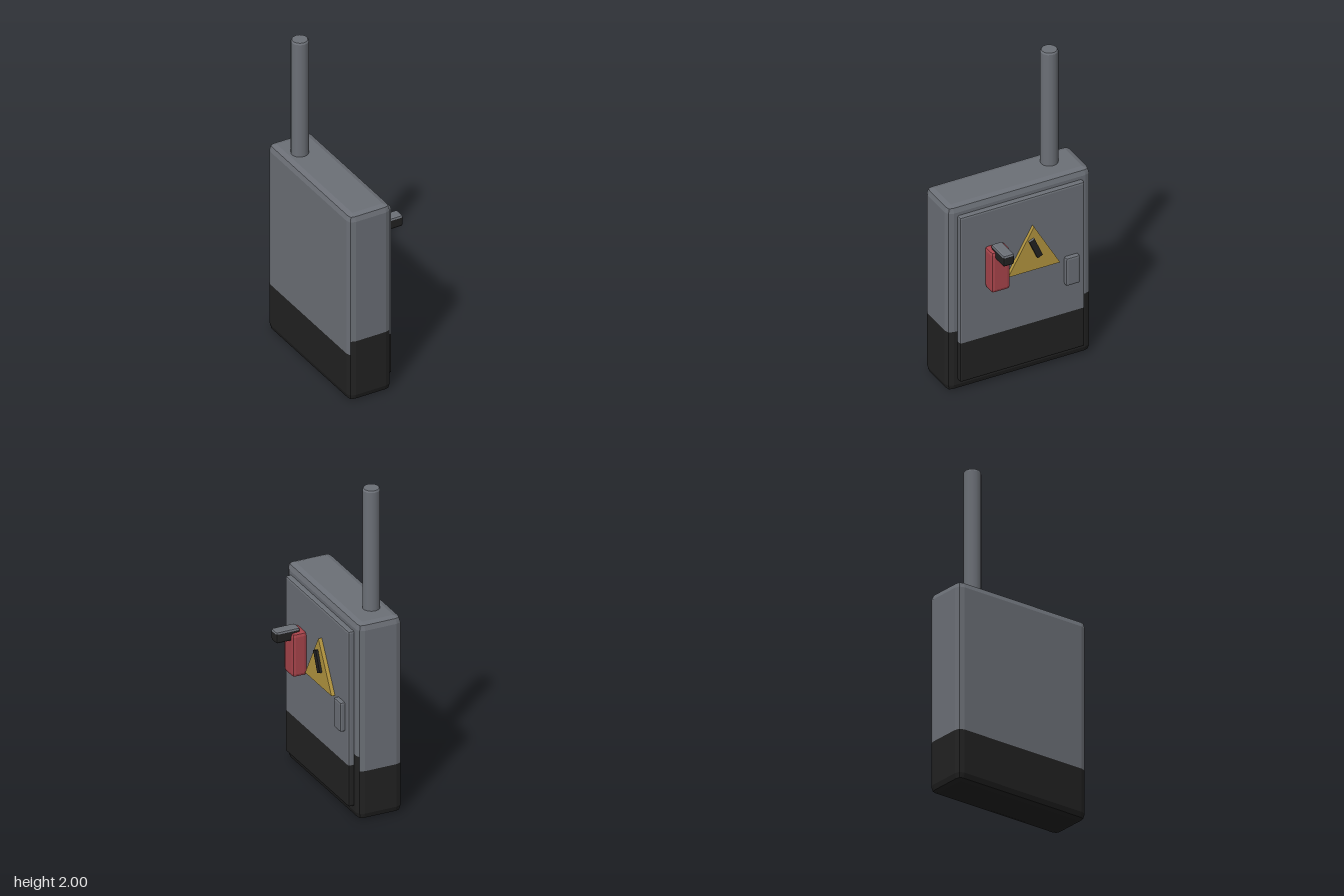
import * as THREE from 'three';

const mat = (name, color) => {
  const m = new THREE.MeshStandardMaterial({ color });
  m.name = name;
  return m;
};

export function createModel() {
  const grey = mat('grey metal', 0x6c7077);
  const black = mat('black', 0x222222);
  const red = mat('red', 0xa8444b);
  const yellow = mat('yellow', 0xb3953f);
  const root = new THREE.Group();
  const add = (name, geometry, material) => {
    const m = new THREE.Mesh(geometry, material);
    m.name = name;
    root.add(m);
    return m;
  };

  // Box with two-step bevels, lofted upwards ring by ring.
  // e: bevel reach, d: inset of the bevel's middle line.
  // splits: extra ring heights; slot(side, y): material index,
  // side is one of '+x', '-x', '+z', '-z', 'top', 'bottom'.
  function bevelBox([x0, x1], [y0, y1], [z0, z1], e, d, splits = [], slot = () => 0) {
    const cx = (x0 + x1) / 2, cz = (z0 + z1) / 2, hx = (x1 - x0) / 2, hz = (z1 - z0) / 2;
    const ring = (y, inset, mid) => {
      const pts = [];
      for (const [sx, sz, flip] of [[1, 1, 1], [1, -1, 0], [-1, -1, 1], [-1, 1, 0]]) {
        const corner = [[hx - e, hz - inset], [hx - mid, hz - mid], [hx - inset, hz - e]];
        if (!flip) corner.reverse();
        for (const [a, b] of corner) pts.push(new THREE.Vector3(cx + sx * a, y, cz + sz * b));
      }
      return pts;
    };
    const rings = [
      ring(y0, e, e), ring(y0 + d, d, d * 1.6), ring(y0 + e, 0, d),
      ...splits.map((y) => ring(y, 0, d)),
      ring(y1 - e, 0, d), ring(y1 - d, d, d * 1.6), ring(y1, e, e),
    ];
    const sides = ['+z', '+x', '+x', '+x', '-z', '-z', '-z', '-x', '-x', '-x', '+z', '+z'];
    const buckets = [[], []];
    const tri = (s, ...p) => p.forEach((v) => buckets[s].push(v.x, v.y, v.z));
    for (let r = 0; r + 1 < rings.length; r++) {
      const lo = rings[r], hi = rings[r + 1], y = (lo[0].y + hi[0].y) / 2;
      const cap = r >= rings.length - 3 ? 'top' : null;
      for (let i = 0; i < 12; i++) {
        const j = (i + 1) % 12;
        const s = slot(cap || sides[i], y);
        if (hi[i].distanceTo(hi[j]) > 1e-6) tri(s, lo[i], hi[j], hi[i]);
        if (lo[i].distanceTo(lo[j]) > 1e-6) tri(s, lo[i], lo[j], hi[j]);
      }
    }
    const top = rings[rings.length - 1], bot = rings[0];
    tri(slot('top', y1), top[0], top[3], top[6]);
    tri(slot('top', y1), top[0], top[6], top[9]);
    tri(slot('bottom', y0), bot[0], bot[6], bot[3]);
    tri(slot('bottom', y0), bot[0], bot[9], bot[6]);
    const g = new THREE.BufferGeometry();
    g.setAttribute('position', new THREE.Float32BufferAttribute(buckets.flat(), 3));
    g.addGroup(0, buckets[0].length / 3, 0);
    g.addGroup(buckets[0].length / 3, buckets[1].length / 3, 1);
    g.computeVertexNormals();
    return g;
  }

  // Cabinet: the black base reaches higher on the front and door sides
  add('cabinet', bevelBox([-0.25, 0.028], [0, 1.24], [-0.463, 0.463], 0.04, 0.01, [0.31, 0.4],
    (side, y) => (y < (side[0] === '-' ? 0.31 : 0.4) ? 1 : 0)), [grey, black]);

  // Door panel
  add('door', bevelBox([0.02, 0.063], [0.07, 1.18], [-0.402, 0.402], 0.012, 0.003, [0.333],
    (side, y) => (y < 0.333 ? 1 : 0)), [grey, black]);

  // Switch housing and its lever, which has a worn grey top
  add('switchHousing', bevelBox([0.06, 0.152], [0.672, 0.945], [0.125, 0.246], 0.02, 0.005), [red, red]);
  add('switchLever', bevelBox([0.093, 0.245], [0.896, 0.97], [0.149, 0.222], 0.014, 0.004, [],
    (side) => (side === 'top' ? 0 : 1)), [grey, black]);

  // Door latch
  add('latch', bevelBox([0.055, 0.093], [0.53, 0.716], [-0.357, -0.267], 0.012, 0.003), [grey, grey]);

  // Warning plate: triangle drawn in (-z, y), extruded towards +x
  const tri = new THREE.Shape([
    new THREE.Vector2(-0.105, 0.703), new THREE.Vector2(0.23, 0.703), new THREE.Vector2(0.062, 0.993),
  ]);
  const plate = add('warningPlate', new THREE.ExtrudeGeometry(tri, { depth: 0.023, bevelEnabled: false }), yellow);
  plate.rotation.y = Math.PI / 2;
  plate.position.x = 0.062;

  // Slanted bar on the plate, grey on its upper end
  const bar = add('warningBar', new THREE.BoxGeometry(0.02, 0.133, 0.036),
    [black, black, grey, black, black, black]);
  bar.position.set(0.09, 0.853, -0.068);
  bar.rotation.x = 0.41;

  // Conduit pipe with a slightly bevelled end
  const pipe = add('pipe', new THREE.CylinderGeometry(0.052, 0.052, 0.79, 14, 1, true), grey);
  pipe.position.set(-0.141, 1.595, -0.282);
  const pipeEnd = add('pipeEnd', new THREE.CylinderGeometry(0.046, 0.052, 0.01, 14), grey);
  pipeEnd.position.set(-0.141, 1.995, -0.282);

  return root;
}
